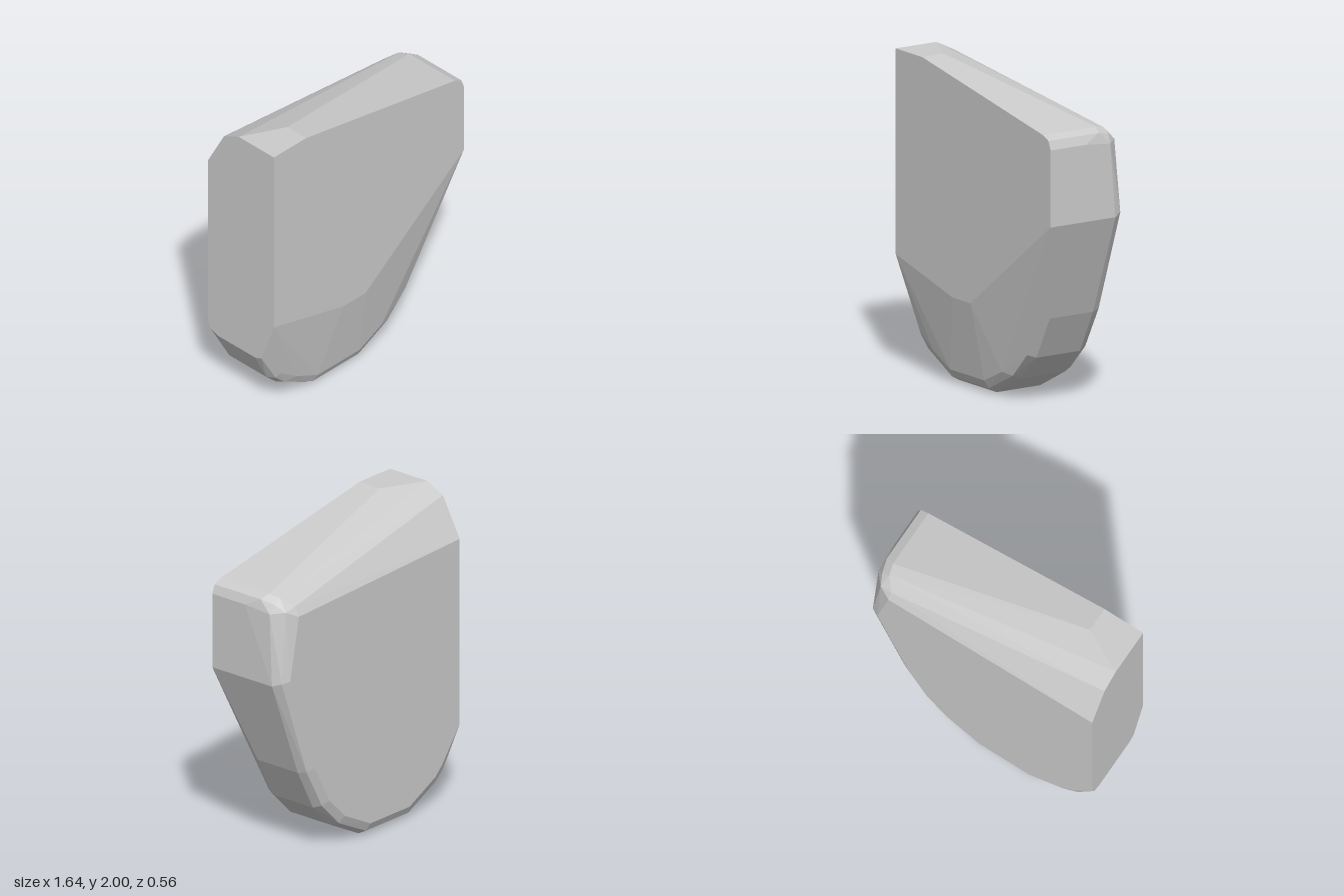
import * as THREE from 'three';
import { ConvexGeometry } from 'three/addons/geometries/ConvexGeometry.js';

export function createModel() {
  const group = new THREE.Group();
  const points = [];
  const add = (list, z) => list.forEach(([x, y, pz = z]) => points.push(new THREE.Vector3(x, y, pz)));

  // Flat front face
  add([[-0.82, 2], [-0.54, 2], [0.74, 1.76], [0.795, 1.735], [0.817, 1.68],
    [0.817, 1.2], [-0.03, 0.565], [-0.22, 0.565], [-0.82, 0.72]], 0.28);

  // Widest rim of the rounded lower end, running front to back
  const rim = [[-0.82, 0.41], [-0.72, 0.21], [-0.64, 0.135], [-0.38, 0],
    [0.02, 0], [0.28, 0.135], [0.44, 0.295], [0.58, 0.565]];
  add(rim, 0.12);
  add(rim, -0.2);
  add([[0.817, 1.2]], -0.2);

  // Chamfers between the rim and the front and back faces
  const chamfer = [[-0.82, 0.43], [-0.7, 0.225], [-0.625, 0.155], [-0.375, 0.03],
    [0.015, 0.03], [0.265, 0.155], [0.42, 0.315]];
  add(chamfer, 0.175);
  add(chamfer, -0.255);
  add([[0.56, 0.575], [0.79, 1.22]], -0.255);

  // Lower edge of the sloping front
  add([[-0.68, 0.26], [-0.54, 0.165], [-0.36, 0.08], [0, 0.08], [0.19, 0.17]], 0.2);

  // Flat back face
  add([[-0.82, 1.69], [0.66, 1.63], [0.74, 1.23], [0.515, 0.595], [0.38, 0.345],
    [0.235, 0.2], [0, 0.08], [-0.36, 0.08], [-0.595, 0.2], [-0.66, 0.265], [-0.82, 0.48]], -0.28);

  // Rounded slope from the top to the back, narrowing to the left corner
  add([[-0.54, 2, 0.12], [-0.82, 2, -0.02], [-0.82, 1.985, -0.05], [-0.82, 1.94, -0.145],
    [0.74, 1.76, -0.11], [0.72, 1.745, -0.18], [0.66, 1.69, -0.25],
    [0.795, 1.735, -0.09], [0.77, 1.715, -0.18], [0.74, 1.67, -0.245],
    [0.817, 1.68, 0.02], [0.805, 1.66, -0.17]]);

  const body = new THREE.Mesh(
    new ConvexGeometry(points),
    new THREE.MeshStandardMaterial({ color: 0xcccccc, flatShading: true })
  );
  body.name = 'body';
  group.add(body);
  return group;
}
